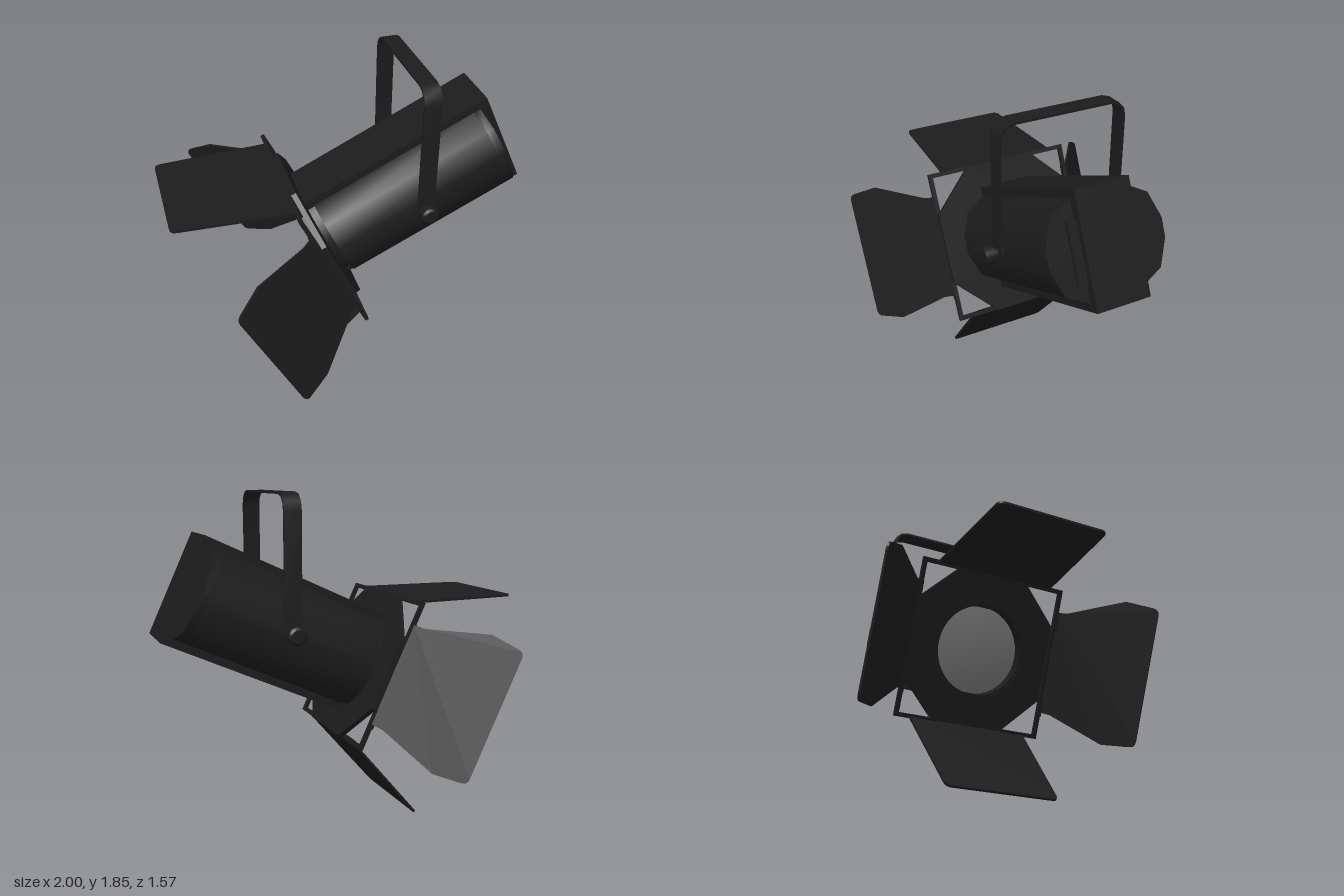
import * as THREE from 'three';
import { toCreasedNormals } from 'three/addons/utils/BufferGeometryUtils.js';

export function createModel() {
  const black = new THREE.MeshStandardMaterial({ color: 0x1c1c1c });
  black.name = 'blackMetal';
  const glass = new THREE.MeshStandardMaterial({ color: 0x7c7c7c });
  glass.name = 'greyLens';
  const inside = new THREE.MeshStandardMaterial({ color: 0x1c1c1c, side: THREE.DoubleSide });
  inside.name = 'blackInterior';

  const root = new THREE.Group();
  root.name = 'stageLight';

  // Tilted head: local +x runs from the lens to the back, local y is across it
  const head = new THREE.Group();
  head.name = 'lampHead';
  head.position.set(-0.165, 0.88, 0);
  head.rotation.z = THREE.MathUtils.degToRad(25);
  root.add(head);

  const add = (parent, name, geo, mat = black) => {
    const mesh = new THREE.Mesh(geo, mat);
    mesh.name = name;
    parent.add(mesh);
    return mesh;
  };
  const box = (parent, name, size, pos) => {
    add(parent, name, new THREE.BoxGeometry(...size)).position.set(...pos);
  };
  const polygon = (pts) => new THREE.Shape(pts.map(([x, y]) => new THREE.Vector2(x, y)));
  const circleHole = (r) => new THREE.Path().absarc(0, 0, r, 0, Math.PI * 2, true);
  // Extrude a cross-section along the head's axis from x0 to x1
  const alongAxis = (shape, x0, x1) =>
    new THREE.ExtrudeGeometry(shape, { depth: x1 - x0, bevelEnabled: false, curveSegments: 24 })
      .rotateY(Math.PI / 2).translate(x0, 0, 0);

  // Housing shell with rounded sides, closed at the back
  const quarter = [[0.325, 0.05], [0.27, 0.19], [0.15, 0.255]];
  const flip = (pts, sx, sy) => pts.map(([x, y]) => [x * sx, y * sy]);
  const outline = [
    ...quarter, ...flip(quarter, -1, 1).reverse(),
    ...flip(quarter, -1, -1), ...flip(quarter, 1, -1).reverse(),
  ];
  const shell = polygon(outline);
  shell.holes.push(circleHole(0.235));
  add(head, 'housingShell', toCreasedNormals(alongAxis(shell, 0.06, 1.05), 0.8));
  add(head, 'housingEnd', toCreasedNormals(alongAxis(polygon(outline), 1.05, 1.09), 0.8));

  // Flat spine wrapping the top, back and bottom of the housing
  for (const s of [1, -1]) box(head, 'spinePlate', [1.125, 0.055, 0.3], [0.5825, s * 0.27, 0]);
  box(head, 'backPlate', [0.065, 0.595, 0.3], [1.1125, 0, 0]);
  box(head, 'backStep', [0.04, 0.32, 0.4], [1.09, 0, 0]);

  // Front collar, lens tube and a gently domed lens
  const collar = new THREE.Shape().absarc(0, 0, 0.29, 0, Math.PI * 2);
  collar.holes.push(circleHole(0.25));
  add(head, 'frontCollar', toCreasedNormals(alongAxis(collar, 0, 0.07), 0.8));
  add(head, 'lensTube', new THREE.CylinderGeometry(0.248, 0.248, 0.07, 40, 1, true)
    .rotateZ(Math.PI / 2).translate(0.045, 0, 0), inside);
  const R = 1.4;
  add(head, 'lens', new THREE.SphereGeometry(R, 40, 8, 0, Math.PI * 2, 0, Math.asin(0.247 / R))
    .rotateZ(Math.PI / 2).translate(0.035 + R, 0, 0), glass);

  // Octagonal front plate
  const octagon = polygon([[0.43, -0.2], [0.43, 0.2], [0.2, 0.43], [-0.2, 0.43],
    [-0.43, 0.2], [-0.43, -0.2], [-0.2, -0.43], [0.2, -0.43]]);
  octagon.holes.push(circleHole(0.26));
  add(head, 'frontPlate', toCreasedNormals(alongAxis(octagon, -0.008, 0.02), 0.5));

  // Square frame carrying the barn doors
  const square = (r) => [[r, -r], [r, r], [-r, r], [-r, -r]];
  const frame = polygon(square(0.433));
  frame.holes.push(new THREE.Path(square(0.41).reverse().map(([x, y]) => new THREE.Vector2(x, y))));
  add(head, 'doorFrame', alongAxis(frame, -0.03, -0.008));

  // Hinge clips, two on each side of the frame
  for (const s of [1, -1]) for (const t of [1, -1]) {
    box(head, 'sideHinge', [0.026, 0.11, 0.024], [-0.024, t * 0.25, s * 0.422]);
    box(head, 'endHinge', [0.026, 0.024, 0.11], [-0.024, s * 0.422, t * 0.25]);
  }

  // Door leaf from half-widths [distance, halfWidth], outer corners rounded
  const doorGeometry = (steps) => {
    const shape = new THREE.Shape();
    const n = steps.length - 1, [end, w] = steps[n], r = 0.035;
    const [pd, pw] = steps[n - 1];
    const k = r / (end - pd), wr = w + (pw - w) * k;
    shape.moveTo(-steps[0][1], steps[0][0]);
    for (let i = 0; i < n; i++) shape.lineTo(steps[i][1], steps[i][0]);
    shape.lineTo(wr, end - r);
    shape.quadraticCurveTo(w, end, w - r, end);
    shape.lineTo(-w + r, end);
    shape.quadraticCurveTo(-w, end, -wr, end - r);
    for (let i = n - 1; i > 0; i--) shape.lineTo(-steps[i][1], steps[i][0]);
    return new THREE.ExtrudeGeometry(shape, { depth: 0.012, bevelEnabled: false, curveSegments: 5 })
      .translate(0, 0, -0.006);
  };
  // Place a leaf: width axis, direction of reach, hinge position
  const door = (parent, name, steps, width, reach, hinge) => {
    const w = new THREE.Vector3(...width), d = new THREE.Vector3(...reach).normalize();
    const m = new THREE.Matrix4().makeBasis(w, d, w.clone().cross(d)).setPosition(...hinge);
    add(parent, name, doorGeometry(steps).applyMatrix4(m));
  };
  const endLeaf = [[0, 0.345], [0.625, 0.31]];
  const sideLeaf = [[0, 0.29], [0.07, 0.295], [0.4, 0.4], [0.59, 0.378]];
  door(root, 'topBarnDoor', endLeaf, [0, 0, 1], [-1, 0, 0], [-0.375, 1.253, 0]);
  door(root, 'bottomBarnDoor', endLeaf, [0, 0, 1], [-0.4, -0.47, 0], [-0.008, 0.481, 0]);
  for (const s of [1, -1])
    door(head, 'sideBarnDoor', sideLeaf, [0, 1, 0], [-0.468, 0, s * 0.35], [-0.019, 0.011, s * 0.428]);

  // Upright yoke: a bent strip with rounded top corners
  const half = [[0.355, 1.125], [0.355, 1.76], [0.345, 1.805], [0.315, 1.837], [0.27, 1.85]];
  const inner = [[0.343, 1.125], [0.343, 1.758], [0.334, 1.798], [0.308, 1.827], [0.268, 1.838]];
  const yoke = polygon([...half, ...flip(half, -1, 1).reverse(), ...flip(inner, -1, 1), ...inner.slice().reverse()]);
  const yokeX = 0.349;
  add(root, 'yoke', toCreasedNormals(alongAxis(yoke, yokeX - 0.048, yokeX + 0.048), 0.6));

  // Yoke ends, pivots and clamp knobs with softened rims
  const disc = (name, r, z0, z1, s) => {
    const h = (z1 - z0) / 2, b = h * 0.5;
    const profile = [[0, -h], [r, -h], [r, h - b], [r - b, h], [0, h]].map(([x, y]) => new THREE.Vector2(x, y));
    add(root, name, toCreasedNormals(new THREE.LatheGeometry(profile, 28).rotateX(s * Math.PI / 2), 0.6))
      .position.set(yokeX, 1.127, s * (z0 + z1) / 2);
  };
  for (const s of [1, -1]) {
    disc('yokeEnd', 0.048, 0.343, 0.355, s);
    disc('pivot', 0.025, 0.3, 0.39, s);
    disc('clampKnob', 0.049, 0.378, 0.428, s);
  }
  return root;
}
